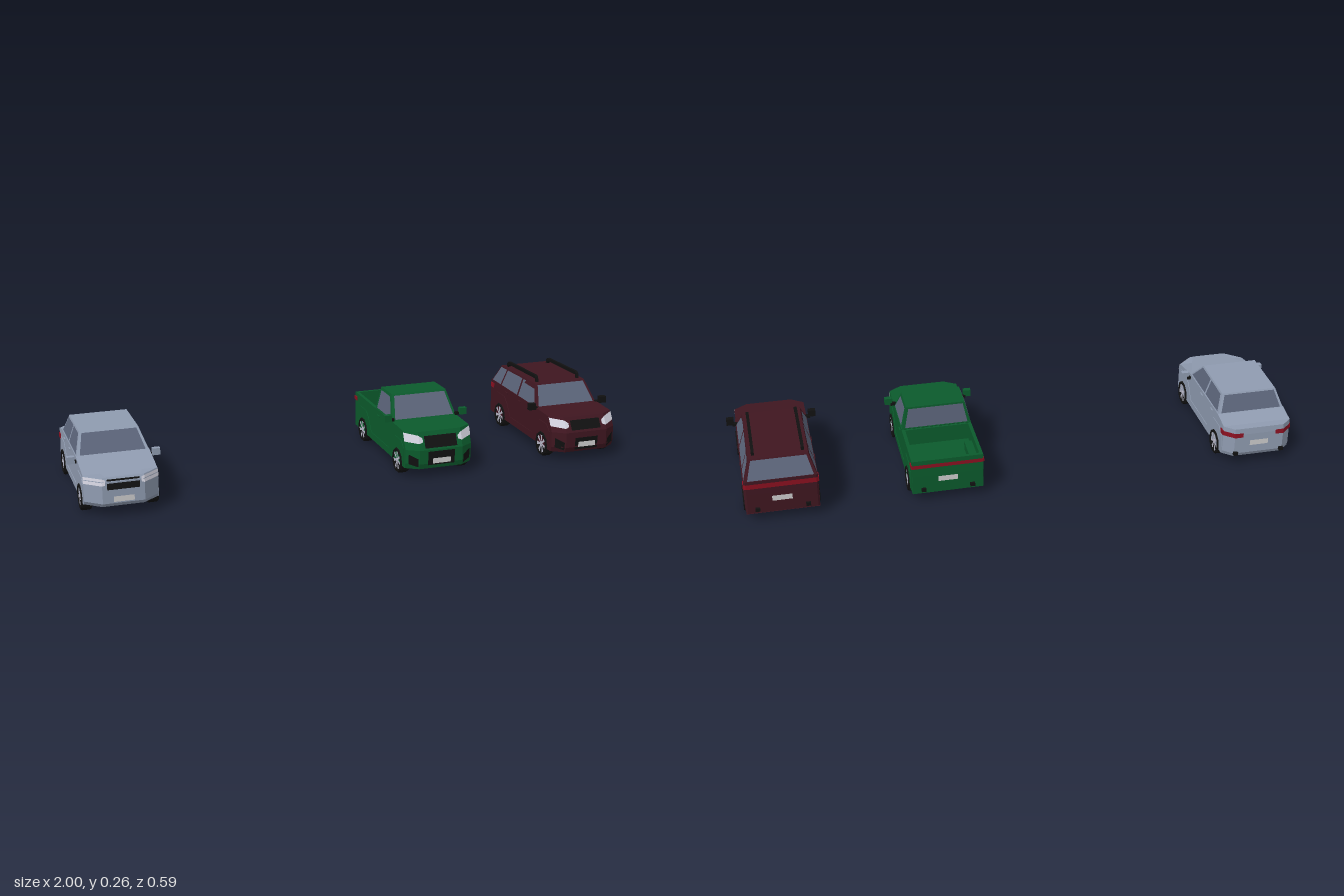
import * as THREE from 'three';

const mat = (color) => new THREE.MeshStandardMaterial({ color, flatShading: true, side: THREE.DoubleSide });
const GLASS = mat(0x5a6378), BLACK = mat(0x111111), RIM = mat(0xb8b8c8), RED = mat(0x8a1020);
const LAMP = mat(0xd0d0dc), PLATE = mat(0xcccccc);
const W = 0.124, COWL = 0.115;

function add(group, name, geometry, material, x = 0, y = 0, z = 0) {
  const mesh = new THREE.Mesh(geometry, material);
  mesh.name = name;
  mesh.position.set(x, y, z);
  group.add(mesh);
  return mesh;
}
const box = (group, name, m, size, pos) => add(group, name, new THREE.BoxGeometry(...size), m, ...pos);

function geometryFrom(points, index) {
  const g = new THREE.BufferGeometry();
  g.setAttribute('position', new THREE.Float32BufferAttribute(points.flat(), 3));
  g.setIndex(index);
  const flat = g.toNonIndexed();
  flat.computeVertexNormals();
  return flat;
}

// Closed solid through stacked rings; each ring lists half stations [x, y, z] from front to rear
function loft(rings) {
  const m = rings[0].length * 2, points = [], index = [];
  const quad = (a, b, c, d) => index.push(a, b, c, a, c, d);
  for (const r of rings) points.push(...r, ...[...r].reverse().map(([x, y, z]) => [-x, y, z]));
  for (let k = 0; k < rings.length - 1; k++)
    for (let i = 0; i < m; i++) {
      const a = k * m + i, b = k * m + (i + 1) % m;
      quad(a, b, b + m, a + m);
    }
  const t = (rings.length - 1) * m;
  for (let i = 0; i < m / 2 - 1; i++) {
    quad(t + i, t + i + 1, t + m - 2 - i, t + m - 1 - i);
    quad(m - 1 - i, m - 2 - i, i + 1, i);
  }
  return geometryFrom(points, index);
}

// Flat convex polygon
function panel(points) {
  const index = [];
  for (let i = 1; i < points.length - 1; i++) index.push(0, i, i + 1);
  return geometryFrom(points, index);
}

// Piecewise interpolation of an end profile [[y, z], ...]
function zAt(profile, y) {
  for (let i = 1; i < profile.length; i++) {
    const [y0, z0] = profile[i - 1], [y1, z1] = profile[i];
    if (y <= y1 + 1e-6) return z0 + (z1 - z0) * (y - y0) / (y1 - y0);
  }
  return profile[profile.length - 1][1];
}

// Strip laid over the nose or tail, following its chamfered corners
function strip(group, name, m, end, xs, low, high) {
  const points = [], index = [];
  xs.forEach((x, i) => {
    for (const y of [low[i] ?? low[0], high[i] ?? high[0]]) {
      const t = Math.max(0, (Math.abs(x) - end.flat) / (W - end.flat));
      points.push([x, y, zAt(end.profile, y) - end.dir * (t * end.chamfer - 0.003)]);
    }
    if (i) index.push(2 * i - 2, 2 * i, 2 * i + 1, 2 * i - 2, 2 * i + 1, 2 * i - 1);
  });
  add(group, name, geometryFrom(points, index), m);
}

function wheel(group, x, z, s) {
  const g = new THREE.Group();
  g.name = 'wheel';
  g.position.set(x, 0.045, z);
  group.add(g);
  const ring = [[0.035, -0.018], [0.043, -0.018], [0.046, -0.013], [0.046, 0.013], [0.043, 0.018], [0.035, 0.018], [0.035, -0.018]];
  const tyre = new THREE.LatheGeometry(ring.map((p) => new THREE.Vector2(...p)), 10);
  add(g, 'tyre', tyre.rotateZ(Math.PI / 2), BLACK);
  add(g, 'hub', new THREE.CylinderGeometry(0.008, 0.008, 0.006, 8).rotateZ(Math.PI / 2), RIM, s * 0.014);
  for (let i = 0; i < 7; i++) {
    const a = i * Math.PI * 2 / 7, p = (r, d) => [s * 0.0155, r * Math.cos(a + d), r * Math.sin(a + d)];
    add(g, 'spoke', panel([p(0.005, -0.5), p(0.036, -0.2), p(0.036, 0.2), p(0.005, 0.5)]), RIM);
  }
}

function cabin(group, c, paint) {
  const g = new THREE.Group();
  g.name = 'cabin';
  group.add(g);
  const base = [[c.wb, c.yb, COWL], [c.wb, c.yb, c.rear]];
  const roof = [[c.wr, c.yf, c.roofFront], [c.wr, c.yr, c.roofRear]];
  add(g, 'cabinShell', loft([base, roof]), paint);
  // Windshield and rear window
  [0, 1].forEach((i) => {
    const at = (t, s) => base[i].map((v, k) => (v + (roof[i][k] - v) * t) * (k ? 1 : s * 0.92)
      + (k === 2 ? (i ? -0.003 : 0.003) : 0));
    add(g, i ? 'rearWindow' : 'windshield', panel([at(0.06, -1), at(0.06, 1), at(0.94, 1), at(0.94, -1)]), GLASS);
  });
  // Side windows
  for (const s of [-1, 1]) for (const w of c.windows)
    add(g, 'sideWindow', panel(w.map(([z, y]) =>
      [s * (c.wb + (c.wr - c.wb) * (y - c.yb) / (c.yr - c.yb) + 0.002), y, z])), GLASS);
}

function car(name, x, d) {
  const g = new THREE.Group();
  g.name = name;
  g.position.x = x;
  const paint = mat(d.color);
  const { nose, tail, belt } = d;
  // Body, with stations at nose, corners, cowl and tail
  const ring = (y, top, rear) => {
    const zf = zAt(nose.profile, y), zr = rear ?? zAt(tail.profile, y), yr = top ? d.deck : y, ym = top ? belt : y;
    return [[nose.flat, y, zf], [W, y, zf - nose.chamfer], [W, ym, COWL], [W, ym, d.cabin.rear - 0.002],
      [W, yr, rear ? rear - 0.004 : zr + tail.chamfer], [rear ? W : tail.flat, yr, rear ? rear - 0.008 : zr]];
  };
  const ys = nose.profile.map((p) => p[0]), last = ys.length - 1;
  if (d.bed) {
    const split = ys[last - 1];
    add(g, 'lowerBody', loft(ys.slice(0, last).map((y) => ring(y))), paint);
    add(g, 'frontBody', loft([ring(split, false, d.bed), ring(ys[last], true, d.bed)]), paint);
    // Open cargo bed: a frame round the floor
    const end = zAt(tail.profile, split), rect = (S, w, a, b) =>
      new S([[-w, a], [w, a], [w, b], [-w, b]].map(([px, pz]) => new THREE.Vector2(px, -pz)));
    const frame = rect(THREE.Shape, W, d.bed, end);
    frame.holes.push(rect(THREE.Path, W - 0.012, d.bed - 0.012, end + 0.012));
    const walls = new THREE.ExtrudeGeometry(frame, { depth: d.deck - split, bevelEnabled: false });
    add(g, 'bedWalls', walls.rotateX(-Math.PI / 2), paint, 0, split, 0);
    for (const s of [-1, 1]) box(g, 'bedWheelBox', paint, [0.03, 0.03, 0.115], [s * 0.1, split + 0.015, -0.19]);
  } else add(g, 'body', loft(ys.map((y, i) => ring(y, i === last))), paint);
  cabin(g, d.cabin, paint);

  // Sill and wheel arch flares
  const outline = [[0.235, 0.037], [0.26, 0.06], [0.238, 0.105], [0.21, 0.128], [0.147, 0.128], [0.12, 0.105], [0.092, 0.062],
    [-0.095, 0.062], [-0.125, 0.105], [-0.152, 0.128], [-0.215, 0.128], [-0.24, 0.105], [-0.25, 0.06], [-0.25, 0.037]];
  const flare = new THREE.ExtrudeGeometry(new THREE.Shape(outline.map(([z, y]) => new THREE.Vector2(-Math.min(z, d.flareFront), y))),
    { depth: 0.002, bevelEnabled: false }).rotateY(Math.PI / 2);
  for (const s of [-1, 1]) {
    add(g, 'archFlare', flare, paint, s > 0 ? W : -W - 0.002);
    for (const z of [0.179, -0.184]) wheel(g, s * 0.112, z, s);
    for (const z of d.handles) box(g, 'doorHandle', paint, [0.006, 0.007, 0.021], [s * (W + 0.001), 0.146, z]);
    // Door mirror
    box(g, 'mirror', d.blackMirrors ? BLACK : paint, [0.026, 0.024, 0.018], [s * 0.144, d.mirrorY, 0.122]);
    box(g, 'mirrorArm', BLACK, [0.02, 0.01, 0.012], [s * 0.127, d.mirrorY - 0.01, 0.115]);
    // Lamps and vents
    const l = d.lamp;
    strip(g, 'headlight', LAMP, nose, [s * l.x, s * nose.flat, s * (W + 0.001)], l.low, l.high);
    if (d.vents) strip(g, 'bumperVent', BLACK, nose, [s * 0.085, s * 0.115], [0.045, 0.055], [0.075, 0.09]);
    const [t0, t1] = d.tailLamp;
    strip(g, 'tailLight', RED, tail, [s * d.tailX, s * tail.flat, s * (W + 0.001)], [t0], [t1]);
    box(g, 'tailLightSide', RED, [0.004, t1 - t0, 0.024],
      [s * (W + 0.001), (t0 + t1) / 2, zAt(tail.profile, t0) + tail.chamfer + 0.011]);
    box(g, 'exhaust', BLACK, [0.016, 0.012, 0.012], [s * 0.085, 0.052, zAt(tail.profile, 0.052) - 0.003]);
  }
  for (const [half, low, high] of d.grille) strip(g, 'grille', BLACK, nose, [-half, half], [low], [high]);
  const plateEnd = { ...nose, profile: nose.profile.map(([y, z]) => [y, z + 0.002]) };
  strip(g, 'frontPlate', PLATE, plateEnd, [-0.034, 0.034], [0.056], [0.075]);
  strip(g, 'rearPlate', PLATE, tail, [-0.034, 0.034], [0.08], [0.1]);
  return g;
}

export function createModel() {
  const model = new THREE.Group();
  model.name = 'carTrio';

  // Saloon
  const saloon = car('saloon', -0.843, {
    color: 0x8f9bb0, belt: 0.162, deck: 0.148, mirrorY: 0.156, handles: [-0.02, -0.13], flareFront: 0.235,
    nose: { dir: 1, flat: 0.07, chamfer: 0.045, profile: [[0.036, 0.275], [0.05, 0.288], [0.125, 0.288], [0.138, 0.28]] },
    tail: { dir: -1, flat: 0.09, chamfer: 0.03, profile: [[0.036, -0.28], [0.05, -0.287], [0.125, -0.287], [0.138, -0.285]] },
    lamp: { x: 0.06, low: [0.115, 0.113, 0.113], high: [0.132, 0.135, 0.135] },
    tailLamp: [0.115, 0.132], tailX: 0.06, grille: [[0.054, 0.098, 0.133]],
    cabin: { wb: 0.122, wr: 0.1, yb: 0.16, yf: 0.228, yr: 0.224, rear: -0.19, roofFront: 0.05, roofRear: -0.157,
      windows: [[[0.1, 0.166], [0.047, 0.222], [-0.04, 0.221], [-0.04, 0.166]],
        [[-0.05, 0.166], [-0.05, 0.221], [-0.148, 0.219], [-0.178, 0.166]]] },
  });
  add(saloon, 'bonnetPanel', panel([[-0.12, 0.165, COWL], [0.12, 0.165, COWL], [0.06, 0.141, 0.278], [-0.06, 0.141, 0.278]]), saloon.children[0].material);
  model.add(saloon);

  // Pickup
  model.add(car('pickup', 0.279, {
    color: 0x0b5a2c, belt: 0.168, deck: 0.166, bed: -0.055, mirrorY: 0.184, handles: [-0.02], flareFront: 0.235, vents: true,
    nose: { dir: 1, flat: 0.08, chamfer: 0.028, profile: [[0.036, 0.272], [0.055, 0.278], [0.105, 0.278], [0.166, 0.25]] },
    tail: { dir: -1, flat: 0.123, chamfer: 0.001, profile: [[0.036, -0.276], [0.166, -0.278]] },
    lamp: { x: 0.066, low: [0.133, 0.128, 0.133], high: [0.145, 0.155, 0.162] },
    tailLamp: [0.138, 0.152], tailX: 0, grille: [[0.06, 0.112, 0.152], [0.05, 0.05, 0.1]],
    cabin: { wb: 0.122, wr: 0.104, yb: 0.167, yf: 0.25, yr: 0.248, rear: -0.058, roofFront: 0.055, roofRear: -0.05,
      windows: [[[0.1, 0.173], [0.05, 0.24], [-0.038, 0.24], [-0.042, 0.173]]] },
  }));

  // Estate with roof rails
  const estate = car('estate', 0.843, {
    color: 0x3f1620, belt: 0.163, deck: 0.163, mirrorY: 0.171, handles: [-0.02, -0.132], flareFront: 0.235, vents: true, blackMirrors: true,
    nose: { dir: 1, flat: 0.08, chamfer: 0.03, profile: [[0.036, 0.275], [0.055, 0.283], [0.11, 0.282], [0.16, 0.25]] },
    tail: { dir: -1, flat: 0.118, chamfer: 0.004, profile: [[0.036, -0.274], [0.16, -0.276]] },
    lamp: { x: 0.066, low: [0.13, 0.125, 0.13], high: [0.142, 0.152, 0.157] },
    tailLamp: [0.135, 0.153], tailX: 0, grille: [[0.058, 0.118, 0.15], [0.045, 0.045, 0.09]],
    cabin: { wb: 0.122, wr: 0.1, yb: 0.16, yf: 0.235, yr: 0.227, rear: -0.274, roofFront: 0.056, roofRear: -0.235,
      windows: [[[0.105, 0.164], [0.05, 0.229], [-0.039, 0.227], [-0.038, 0.164]],
        [[-0.049, 0.164], [-0.049, 0.227], [-0.174, 0.223], [-0.185, 0.164]],
        [[-0.194, 0.164], [-0.182, 0.223], [-0.232, 0.222], [-0.265, 0.164]]] },
  });
  const rail = new THREE.Shape([[-0.04, 0.232], [-0.033, 0.252], [-0.024, 0.258], [0.203, 0.249], [0.216, 0.24], [0.216, 0.225],
    [0.206, 0.225], [0.2, 0.238], [-0.026, 0.246], [-0.03, 0.232]].map((p) => new THREE.Vector2(...p)));
  const railGeometry = new THREE.ExtrudeGeometry(rail, { depth: 0.01, bevelEnabled: false }).rotateY(Math.PI / 2);
  for (const s of [-1, 1]) add(estate, 'roofRail', railGeometry, BLACK, s * 0.083 - 0.005);
  model.add(estate);
  return model;
}
